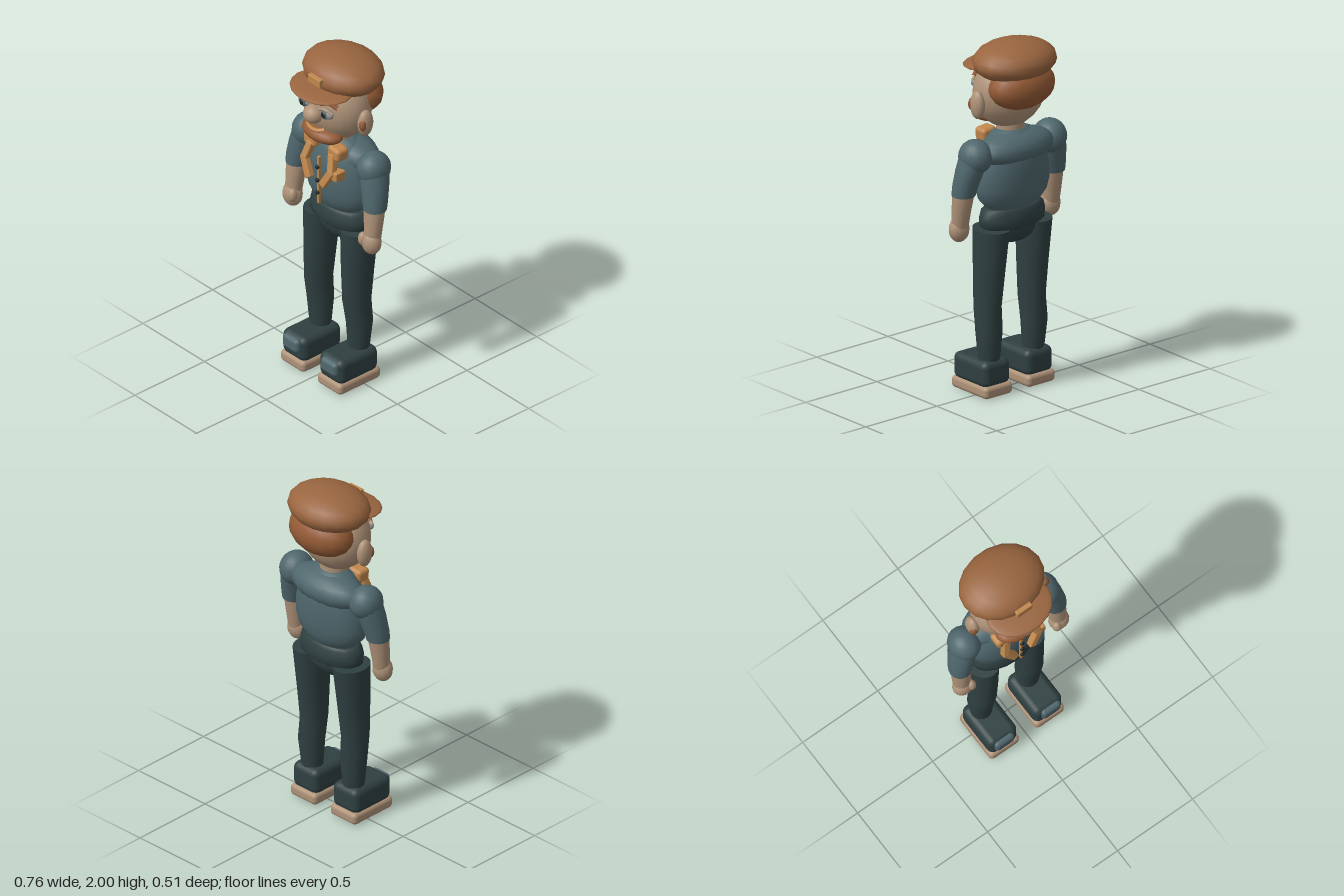
import * as THREE from 'three';
import { RoundedBoxGeometry } from 'three/addons/geometries/RoundedBoxGeometry.js';

const mat = (name, color) => {
  const m = new THREE.MeshStandardMaterial({ color });
  m.name = name;
  return m;
};

export function createModel() {
  const root = new THREE.Group();
  root.name = 'cappedMan';

  const capBrown = mat('cap brown', 0x99653f);
  const hairBrown = mat('hair brown', 0x935a35);
  const skin = mat('skin', 0xae9278);
  const shirtBlue = mat('shirt blue', 0x4f676d);
  const trouserDark = mat('trouser dark', 0x2f4041);
  const trim = mat('orange trim', 0xc0874d);
  const eyeGrey = mat('eye grey', 0x8c9291);
  const black = mat('button black', 0x1c2426);

  function add(name, geometry, material, pos = [0, 0, 0], rot = [0, 0, 0]) {
    const m = new THREE.Mesh(geometry, material);
    m.name = name;
    m.position.set(...pos);
    m.rotation.set(...rot);
    root.add(m);
    return m;
  }

  const ball = (name, material, pos, radii, rot, seg = 18) =>
    add(name, new THREE.SphereGeometry(1, seg, 12), material, pos, rot).scale.set(...radii);

  const block = (name, material, pos, size, r, rot) =>
    add(name, new RoundedBoxGeometry(...size, 3, r), material, pos, rot);

  const tube = (name, material, points, r) =>
    add(name, new THREE.TubeGeometry(new THREE.CatmullRomCurve3(points.map(p => new THREE.Vector3(...p))), 10, r, 8), material);

  // Closed skin over elliptical rings [y, cx, cz, rx, rz], listed from the bottom up
  function loft(name, material, rings, seg = 20) {
    const pos = [], idx = [];
    rings.forEach(([y, cx, cz, rx, rz]) => {
      for (let i = 0; i < seg; i++) {
        const a = (i / seg) * Math.PI * 2;
        pos.push(cx + rx * Math.sin(a), y, cz + rz * Math.cos(a));
      }
    });
    for (let j = 0; j < rings.length - 1; j++) {
      for (let i = 0; i < seg; i++) {
        const a = j * seg + i, b = j * seg + (i + 1) % seg;
        idx.push(a, b, b + seg, a, b + seg, a + seg);
      }
    }
    // Separate cap vertices keep the rims sharp
    [0, rings.length - 1].forEach((j, top) => {
      const base = pos.length / 3;
      for (let i = 0; i < seg * 3; i++) pos.push(pos[j * seg * 3 + i]);
      for (let i = 1; i < seg - 1; i++) {
        if (top) idx.push(base, base + i, base + i + 1);
        else idx.push(base, base + i + 1, base + i);
      }
    });
    const g = new THREE.BufferGeometry();
    g.setAttribute('position', new THREE.Float32BufferAttribute(pos, 3));
    g.setIndex(idx);
    g.computeVertexNormals();
    return add(name, g, material);
  }

  // Cap
  ball('capCrown', capBrown, [0, 1.887, -0.056], [0.248, 0.113, 0.202]);
  ball('capBrim', capBrown, [0, 1.833, 0.1], [0.195, 0.02, 0.155], [0.04, 0, 0]);
  block('capBadge', trim, [0, 1.895, 0.145], [0.1, 0.052, 0.03], 0.006);

  // Head
  ball('head', skin, [0, 1.705, -0.01], [0.217, 0.207, 0.168], [0, 0, 0], 24);
  ball('backHair', hairBrown, [0, 1.755, -0.115], [0.208, 0.13, 0.138]);
  ball('nose', skin, [0, 1.69, 0.16], [0.058, 0.053, 0.057]);
  ball('beard', hairBrown, [0, 1.552, 0.095], [0.14, 0.05, 0.085]);
  tube('mouth', trim, [[-0.068, 1.608, 0.14], [-0.03, 1.598, 0.164], [0.03, 1.598, 0.164], [0.068, 1.608, 0.14]], 0.012);
  loft('neck', skin, [[1.4, 0, -0.02, 0.08, 0.075], [1.55, 0, -0.02, 0.08, 0.075]]);

  // Shirt body, upper back and front placket
  loft('shirtBody', shirtBlue, [
    [1.05, 0, -0.035, 0.14, 0.085],
    [1.075, 0, -0.035, 0.18, 0.11],
    [1.12, 0, -0.035, 0.219, 0.128],
    [1.18, 0, -0.035, 0.235, 0.14],
    [1.27, 0, -0.035, 0.23, 0.147],
    [1.36, 0, -0.037, 0.21, 0.142],
    [1.43, 0, -0.037, 0.175, 0.122],
    [1.475, 0, -0.037, 0.13, 0.095],
    [1.495, 0, -0.037, 0.08, 0.06],
  ], 24);
  ball('shirtYoke', shirtBlue, [0, 1.393, -0.062], [0.25, 0.1, 0.132]);
  block('placket', trim, [0, 1.25, 0.12], [0.016, 0.3, 0.02], 0.005);
  for (const y of [1.335, 1.25, 1.172]) ball('button', black, [0, y, 0.133], [0.013, 0.013, 0.01], [0, 0, 0], 10);
  block('pocketTab', trim, [0.13, 1.333, 0.1], [0.052, 0.055, 0.07], 0.008);

  // Hips
  loft('waistband', trouserDark, [
    [0.94, 0, -0.035, 0.18, 0.1],
    [0.96, 0, -0.035, 0.208, 0.118],
    [1.0, 0, -0.035, 0.212, 0.12],
    [1.045, 0, -0.035, 0.2, 0.112],
    [1.06, 0, -0.035, 0.18, 0.1],
  ]);
  ball('pelvis', trouserDark, [0, 0.95, -0.035], [0.17, 0.11, 0.105]);

  for (const s of [1, -1]) {
    // Face details
    ball('ear', skin, [s * 0.225, 1.665, -0.014], [0.035, 0.08, 0.048]);
    ball('innerEar', hairBrown, [s * 0.238, 1.667, 0.018], [0.022, 0.035, 0.019], [0, 0, 0], 12);
    ball('eye', eyeGrey, [s * 0.09, 1.725, 0.142], [0.046, 0.029, 0.026]);
    ball('iris', shirtBlue, [s * 0.088, 1.725, 0.157], [0.027, 0.027, 0.016], [0, 0, 0], 12);
    ball('pupil', black, [s * 0.088, 1.725, 0.166], [0.017, 0.018, 0.01], [0, 0, 0], 12);
    tube('upperEyelid', skin, [[s * 0.132, 1.738, 0.14], [s * 0.09, 1.755, 0.156], [s * 0.046, 1.742, 0.158]], 0.01);
    tube('eyebrow', hairBrown, [[s * 0.145, 1.772, 0.115], [s * 0.1, 1.792, 0.135], [s * 0.05, 1.774, 0.152]], 0.013);

    // Neckerchief knot and hanging end
    block('neckerchiefKnot', trim, [s * 0.097, 1.453, 0.07], [0.095, 0.078, 0.085], 0.022, [0, 0, s * -0.1]);
    const path = [[0.088, 1.435, 0.1], [0.108, 1.345, 0.125], [0.06, 1.26, 0.138]];
    for (let i = 0; i < 2; i++) {
      const [a, b] = [path[i], path[i + 1]];
      const dx = b[0] - a[0], dy = a[1] - b[1], dz = b[2] - a[2];
      block('neckerchiefEnd', trim, [s * (a[0] + b[0]) / 2, (a[1] + b[1]) / 2, (a[2] + b[2]) / 2],
        [0.044, Math.hypot(dx, dy) + 0.03, 0.04], 0.008, [-Math.atan2(dz, dy), 0, s * Math.atan2(dx, dy)]);
    }

    // Arm: shoulder, sleeve, forearm, hand
    ball('shoulder', shirtBlue, [s * 0.262, 1.385, -0.04], [0.09, 0.096, 0.098]);
    loft('sleeve', shirtBlue, [
      [1.165, s * 0.315, -0.003, 0.065, 0.065],
      [1.22, s * 0.307, -0.01, 0.072, 0.07],
      [1.31, s * 0.288, -0.025, 0.078, 0.08],
      [1.4, s * 0.265, -0.04, 0.08, 0.085],
    ], 16);
    loft('forearm', skin, [
      [0.98, s * 0.32, 0.02, 0.047, 0.045],
      [1.08, s * 0.318, 0.01, 0.055, 0.052],
      [1.2, s * 0.312, -0.005, 0.062, 0.06],
    ], 14);
    ball('hand', skin, [s * 0.32, 0.965, 0.027], [0.06, 0.072, 0.052], [0, 0, 0], 14);
    ball('thumb', skin, [s * 0.285, 0.982, 0.058], [0.027, 0.042, 0.027], [0, 0, 0], 12);

    // Trouser leg
    loft('trouserLeg', trouserDark, [
      [0.18, s * 0.155, -0.027, 0.06, 0.056],
      [0.36, s * 0.158, -0.03, 0.074, 0.074],
      [0.5, s * 0.155, -0.014, 0.072, 0.083],
      [0.7, s * 0.152, -0.023, 0.08, 0.098],
      [0.95, s * 0.15, -0.038, 0.092, 0.114],
    ]);

    // Shoe
    block('shoeSole', skin, [s * 0.15, 0.035, 0.038], [0.195, 0.07, 0.3], 0.025);
    block('shoeUpper', trouserDark, [s * 0.15, 0.13, 0.04], [0.188, 0.152, 0.282], 0.04);
    block('shoeToe', shirtBlue, [s * 0.155, 0.15, 0.165], [0.128, 0.085, 0.07], 0.025);
  }

  return root;
}
